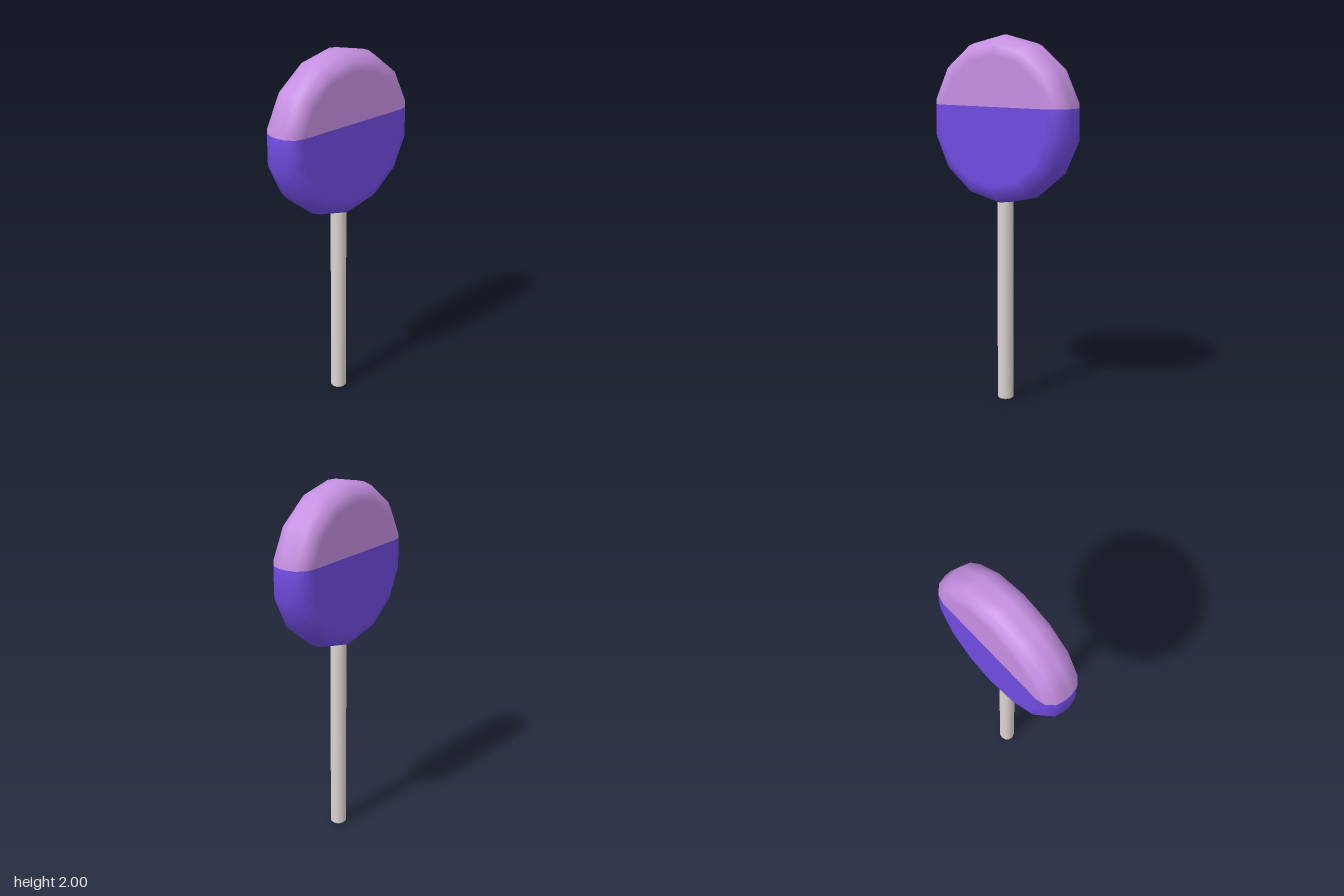
import * as THREE from 'three';

const SIDES = 14, RADIUS = 0.45, CENTRE_Y = 1.55, CUT = 0.075;
const BEVEL = 0.1, HALF_FLAT = 0.02;

// Outline angle of corner k, counted counter-clockwise from the top.
const corner = (k) => Math.PI / 2 + (k / SIDES) * Math.PI * 2;

// One colour half of the candy: corners first..last, closed by a level cut at both ends.
function candyHalf(first, last) {
  const sideX = Math.cos(corner(-3)); // upright side of the unit outline
  const outline = [];
  for (let k = first; k <= last; k++) outline.push(corner(k));
  const n = outline.length + 2;
  const startSide = first < 0 ? 1 : -1;

  // Rounded rim from the front face to the back face
  const rings = [];
  for (let a = 90; a >= 0; a -= 30) rings.push([a, 1]);
  for (let a = 0; a <= 90; a += 30) rings.push([a, -1]);

  const pos = [], nor = [], index = [];
  for (const [deg, dir] of rings) {
    const a = THREE.MathUtils.degToRad(deg);
    const r = RADIUS - BEVEL + BEVEL * Math.cos(a);
    const z = dir * (HALF_FLAT + BEVEL * Math.sin(a));
    const points = outline.map((t) => [r * Math.cos(t), r * Math.sin(t)]);
    points.unshift([startSide * r * sideX, CUT]);
    points.push([-startSide * r * sideX, CUT]);
    for (const [x, y] of points) {
      const len = Math.hypot(x, y);
      pos.push(x, y, z);
      nor.push((x / len) * Math.cos(a), (y / len) * Math.cos(a), dir * Math.sin(a));
    }
  }
  // Rim strips
  for (let j = 0; j < rings.length - 1; j++) {
    for (let i = 0; i < n - 1; i++) {
      const a = j * n + i, b = a + 1, c = a + n, d = c + 1;
      index.push(a, c, b, b, c, d);
    }
  }
  // Flat front and back faces
  const back = (rings.length - 1) * n;
  for (let i = 1; i < n - 1; i++) {
    index.push(0, i, i + 1, back, back + i + 1, back + i);
  }

  const g = new THREE.BufferGeometry();
  g.setAttribute('position', new THREE.Float32BufferAttribute(pos, 3));
  g.setAttribute('normal', new THREE.Float32BufferAttribute(nor, 3));
  g.setIndex(index);
  return g;
}

export function createModel() {
  const mat = (name, color) => {
    const m = new THREE.MeshStandardMaterial({ color });
    m.name = name;
    return m;
  };
  const pink = mat('pinkCandy', 0xc68fe2);
  const purple = mat('purpleCandy', 0x6f4be0);
  const paper = mat('paperStick', 0xdcd5d0);

  const model = new THREE.Group();
  model.name = 'lollipop';
  const add = (name, geometry, material, y) => {
    const mesh = new THREE.Mesh(geometry, material);
    mesh.name = name;
    mesh.position.y = y;
    model.add(mesh);
  };

  // Two-tone candy
  add('candyTop', candyHalf(-3, 3), pink, CENTRE_Y);
  add('candyBottom', candyHalf(4, 10), purple, CENTRE_Y);

  // Stick with a small bevelled foot
  const r = 0.044, foot = 0.008, top = 1.2;
  add('stick', new THREE.CylinderGeometry(r, r, top - foot, 12), paper, (top + foot) / 2);
  add('stickFoot', new THREE.CylinderGeometry(r, r - foot, foot, 12), paper, foot / 2);
  return model;
}
